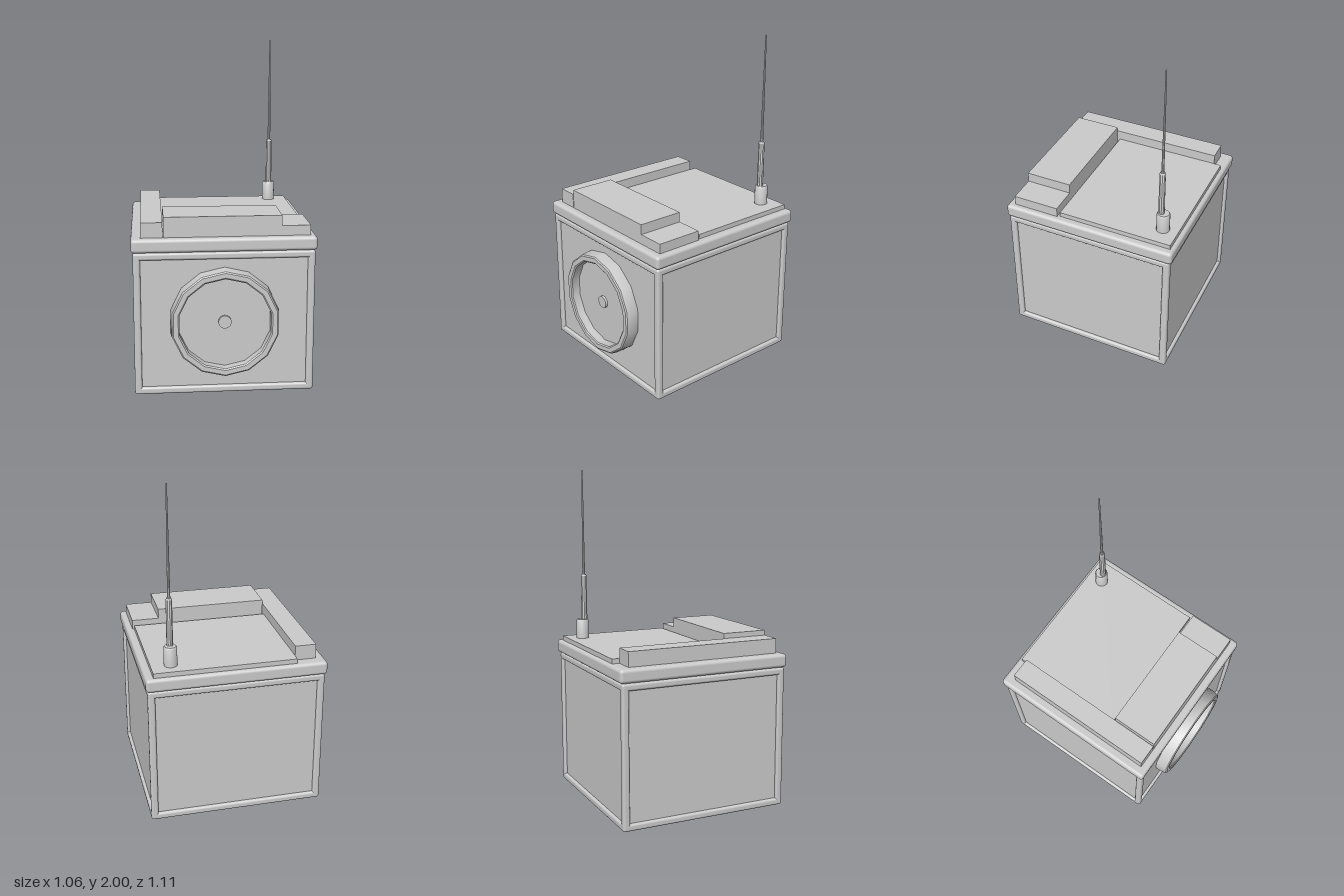
import * as THREE from 'three';
import { RoundedBoxGeometry } from 'three/addons/geometries/RoundedBoxGeometry.js';
import { toCreasedNormals } from 'three/addons/utils/BufferGeometryUtils.js';

export function createModel() {
  const group = new THREE.Group();
  const material = new THREE.MeshStandardMaterial({ color: 0xcccccc });

  const add = (name, geometry, parent = group) => {
    const mesh = new THREE.Mesh(geometry, material);
    mesh.name = name;
    parent.add(mesh);
    return mesh;
  };
  // Box from its minimum and maximum corners, with optional rounded edges
  const box = (name, a, b, radius = 0, parent = group) => {
    const s = a.map((v, i) => b[i] - v);
    const geometry = radius
      ? new RoundedBoxGeometry(...s, 3, radius)
      : new THREE.BoxGeometry(...s);
    const mesh = add(name, geometry, parent);
    mesh.position.set(...a.map((v, i) => (v + b[i]) / 2));
    return mesh;
  };
  // Solid of revolution from [radius, height] pairs
  const turned = (name, profile, sides, parent = group) => {
    const points = profile.map(([r, y]) => new THREE.Vector2(r, y));
    return add(name, toCreasedNormals(new THREE.LatheGeometry(points, sides), 0.6), parent);
  };

  // Cabinet: recessed panels held by a rounded frame of twelve beams
  const lo = [-0.52, 0.005, -0.54], hi = [0.52, 0.85, 0.495];
  const recess = 0.018, beam = 0.042;
  box('cabinetPanels', lo.map(v => v + recess), hi.map(v => v - recess));
  const frame = new THREE.Group();
  frame.name = 'cabinetFrame';
  group.add(frame);
  for (let axis = 0; axis < 3; axis++) {
    const u = (axis + 1) % 3, v = (axis + 2) % 3;
    for (const highU of [false, true]) for (const highV of [false, true]) {
      const a = [...lo], b = [...hi];
      if (highU) a[u] = hi[u] - beam; else b[u] = lo[u] + beam;
      if (highV) a[v] = hi[v] - beam; else b[v] = lo[v] + beam;
      box('frameBeam', a, b, 0.014, frame);
    }
  }

  // Lid and the stepped blocks on it
  box('lid', [-0.53, 0.852, -0.555], [0.53, 0.932, 0.505], 0.02);
  box('topPlate', [-0.35, 0.925, -0.53], [0.485, 0.96, 0.165]);
  box('sideBar', [-0.475, 0.925, -0.485], [-0.35, 1.02, 0.46]);
  box('frontBlock', [-0.345, 0.925, 0.18], [0.33, 1.05, 0.46]);
  box('frontStep', [0.33, 0.925, 0.18], [0.495, 0.99, 0.46]);

  // Round dial on the front: rim, recessed face and centre knob
  const dial = new THREE.Group();
  dial.name = 'dial';
  dial.position.set(0, 0.44, 0.475);
  dial.rotation.x = Math.PI / 2;
  group.add(dial);
  turned('dialRim', [[0.318, 0], [0.318, 0.03], [0.312, 0.074], [0.304, 0.08],
    [0.276, 0.08], [0.268, 0.074], [0.268, 0.01]], 14, dial);
  turned('dialFace', [[0.272, 0], [0.272, 0.022], [0, 0.022]], 14, dial);
  turned('dialKnob', [[0.038, 0.015], [0.038, 0.036], [0, 0.036]], 16, dial);

  // Antenna: socket, sleeve and whip
  const antenna = new THREE.Group();
  antenna.name = 'antenna';
  antenna.position.set(0.37, 0, -0.425);
  group.add(antenna);
  const socket = turned('antennaSocket', [[0.039, 0.95], [0.039, 1.07], [0.034, 1.078], [0, 1.078]], 16, antenna);
  socket.position.z = -0.013;
  turned('antennaSleeve', [[0.019, 1.07], [0.018, 1.35], [0.014, 1.36], [0, 1.36]], 10, antenna);
  turned('antennaWhip', [[0.009, 1.355], [0.004, 1.998], [0, 2]], 8, antenna);

  return group;
}
